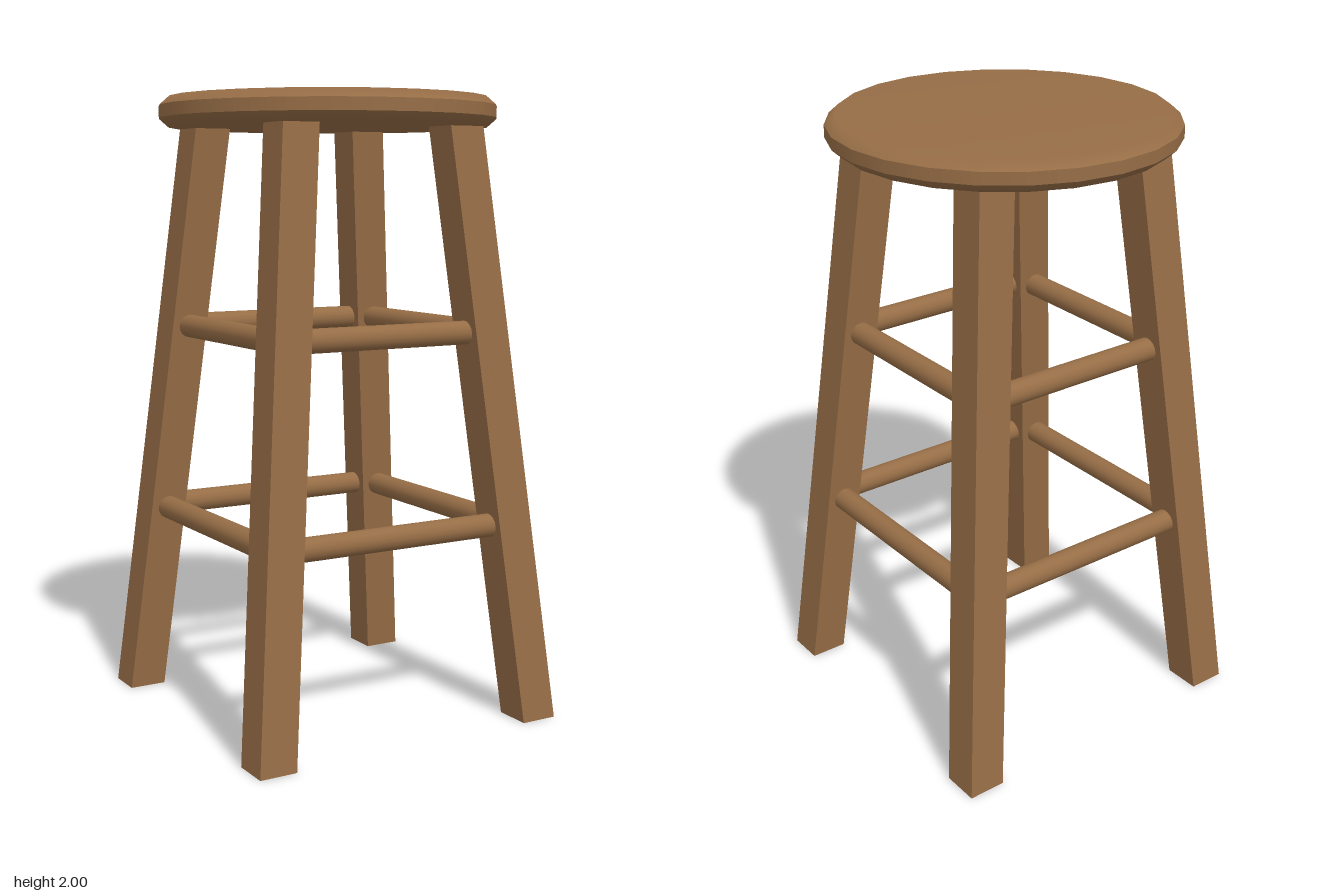
import * as THREE from 'three';

const wood = new THREE.MeshStandardMaterial({ color: 0x966d46 });
wood.name = 'wood';

const SEAT_BOTTOM = 1.905;
const LEG_WIDTH = 0.123;
const RUNG_RADIUS = 0.038;
// distance of a leg's centre line from the x and z axes at height y
const legCentre = (y) => 0.48 - 0.0966 * y;

function addMesh(parent, geometry, name) {
  const mesh = new THREE.Mesh(geometry, wood);
  mesh.name = name;
  parent.add(mesh);
  return mesh;
}

// Round bevelled seat, in separate lathes so the rim edges stay crisp
function createSeat() {
  const seat = new THREE.Group();
  seat.name = 'seat';
  const sections = {
    seatUnderside: [[0, SEAT_BOTTOM], [0.512, SEAT_BOTTOM], [0.544, 1.933]],
    seatRim: [[0.544, 1.933], [0.544, 1.972]],
    seatTop: [[0.544, 1.972], [0.512, 2], [0, 2]],
  };
  for (const [name, profile] of Object.entries(sections)) {
    const points = profile.map(([r, y]) => new THREE.Vector2(r, y));
    addMesh(seat, new THREE.LatheGeometry(points, 24), name);
  }
  return seat;
}

// Square leg, slanted outward along the diagonal while its ends stay level
function createLegGeometry(sx, sz) {
  const geometry = new THREE.BoxGeometry(LEG_WIDTH, SEAT_BOTTOM, LEG_WIDTH);
  geometry.translate(0, SEAT_BOTTOM / 2, 0);
  const p = geometry.attributes.position;
  for (let i = 0; i < p.count; i++) {
    const c = legCentre(p.getY(i));
    p.setX(i, p.getX(i) + sx * c);
    p.setZ(i, p.getZ(i) + sz * c);
  }
  geometry.computeVertexNormals();
  return geometry;
}

export function createModel() {
  const stool = new THREE.Group();
  stool.name = 'stool';
  stool.add(createSeat());

  for (const sx of [-1, 1]) {
    for (const sz of [-1, 1]) {
      const name = (sz > 0 ? 'front' : 'back') + (sx > 0 ? 'Left' : 'Right') + 'Leg';
      addMesh(stool, createLegGeometry(sx, sz), name);
    }
  }

  // Two square rings of round rungs, ending inside the legs
  for (const [level, y] of [['lower', 0.638], ['upper', 1.258]]) {
    const c = legCentre(y);
    ['Front', 'Left', 'Back', 'Right'].forEach((side, i) => {
      const geometry = new THREE.CylinderGeometry(RUNG_RADIUS, RUNG_RADIUS, 2 * c - 0.06, 16);
      geometry.rotateZ(Math.PI / 2);
      geometry.translate(0, y, c);
      geometry.rotateY(i * Math.PI / 2);
      addMesh(stool, geometry, level + side + 'Rung');
    });
  }
  return stool;
}
